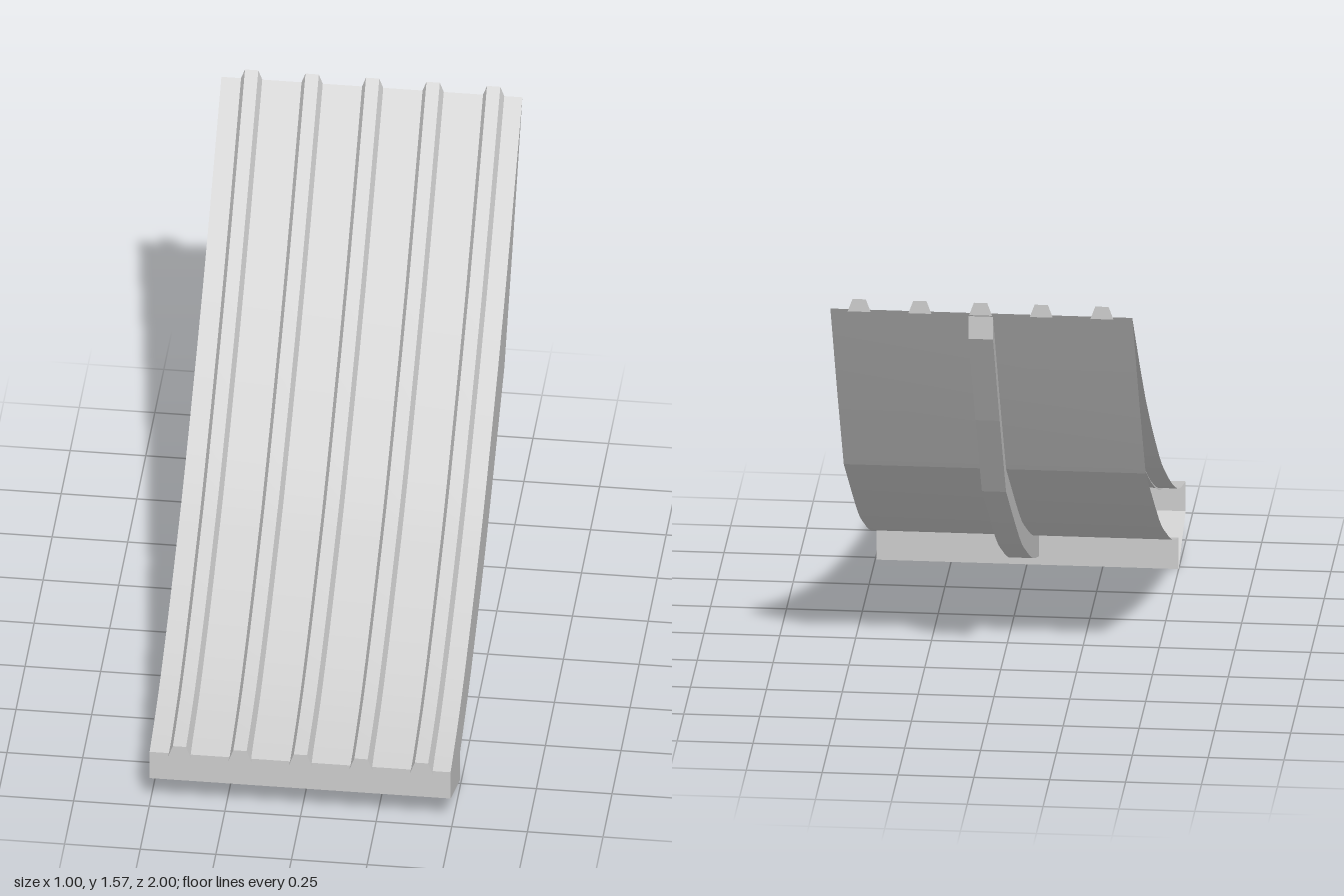
import * as THREE from 'three';

const X0 = -0.5, X1 = 0.495, LIP_Z = 0.73;
const grey = new THREE.MeshStandardMaterial({ color: 0xcccccc, side: THREE.DoubleSide });
grey.name = 'plain grey';

// Profiles are [z, y] points running from front to back
const smooth = (pts, n) =>
  new THREE.SplineCurve(pts.map(p => new THREE.Vector2(...p))).getPoints(n).map(p => [p.x, p.y]);
const topLine = smooth([[0.99, 0.21], [0.75, 0.275], [0.5, 0.385], [0.25, 0.52], [0, 0.675],
  [-0.5, 1.06], [-1, 1.535]], 18);
const underLine = smooth([[LIP_Z, 0.11], [0.5, 0.19], [0.25, 0.31], [0, 0.45], [-0.5, 0.8]], 12);
const backLine = [[-0.5, 0.8], [-0.74, 1.14], [-1, 1.535]];

// Surface between two rows of [x, y, z] points
function strip(a, b) {
  const pos = [], index = [];
  a.forEach((p, i) => {
    pos.push(...p, ...b[i]);
    if (i) {
      const k = 2 * i;
      index.push(k - 2, k - 1, k, k - 1, k + 1, k);
    }
  });
  const g = new THREE.BufferGeometry();
  g.setAttribute('position', new THREE.Float32BufferAttribute(pos, 3));
  g.setIndex(index);
  g.computeVertexNormals();
  return g;
}

const row = (line, x, dy = 0) => line.map(([z, y]) => [x, y + dy, z]);
const ribbon = (line, x0 = X0, x1 = X1) => strip(row(line, x0), row(line, x1));

function add(parent, name, geometry) {
  const mesh = new THREE.Mesh(geometry, grey);
  mesh.name = name;
  parent.add(mesh);
  return mesh;
}

// Flat wall in the z-y plane, facing +x
function wall(points) {
  const shape = new THREE.Shape(points.map(([z, y]) => new THREE.Vector2(-z, y)));
  return new THREE.ShapeGeometry(shape).rotateY(Math.PI / 2);
}

function makeRib(cx) {
  const rib = new THREE.Group();
  rib.name = 'rib';
  const line = topLine.map(([z, y], i) => [i ? z : 1, y]);
  const foot = 0.038, crown = 0.022, h = 0.036;
  const corners = [[-foot, -0.008], [-crown, h], [crown, h], [foot, -0.008]]
    .map(([dx, dy]) => row(line, cx + dx, dy));
  ['ribLeftFlank', 'ribCrown', 'ribRightFlank'].forEach((name, i) =>
    add(rib, name, strip(corners[i], corners[i + 1])));
  const end = line.length - 1;
  const [lf, lc, rc, rf] = corners;
  add(rib, 'ribFrontEnd', strip([lf[0], lc[0]], [rf[0], rc[0]]));
  add(rib, 'ribBackEnd', strip([rf[end], rc[end]], [lf[end], lc[end]]));
  return rib;
}

export function createModel() {
  const model = new THREE.Group();
  model.name = 'ribbedChute';

  // Curved shell, with a downturned lip at the front and one open side
  const step = [[LIP_Z, 0.11], [LIP_Z, 0]];
  const lipFloor = [[LIP_Z, 0], [0.83, 0.04], [0.99, 0.105]];
  const lipFront = [[0.99, 0.105], [0.99, 0.21]];
  add(model, 'topSurface', ribbon(topLine));
  add(model, 'backUnderside', ribbon([...backLine].reverse()));
  add(model, 'underside', ribbon([...underLine].reverse()));
  add(model, 'lipStep', ribbon(step));
  add(model, 'lipUnderside', ribbon(lipFloor));
  add(model, 'lipFront', ribbon(lipFront));
  add(model, 'sideWall', wall([
    ...topLine, backLine[1], ...[...underLine].reverse(), ...lipFloor,
  ])).position.x = X1;

  // Raised ribs along the top
  for (let i = -2; i <= 2; i++) model.add(makeRib(i * 0.2));

  // Keel down the middle of the underside
  const keelTop = [...underLine, ...backLine.slice(1, -1), [-0.99, 1.52]];
  const keelBottom = keelTop.map(([z, y]) => [z, y - 0.08]).reverse();
  const outline = [...keelTop, ...keelBottom].map(([z, y]) => new THREE.Vector2(-z, y));
  const keel = new THREE.ExtrudeGeometry(new THREE.Shape(outline), { depth: 0.08, bevelEnabled: false });
  add(model, 'keel', keel.translate(0, 0, -0.04).rotateY(Math.PI / 2));

  return model;
}
